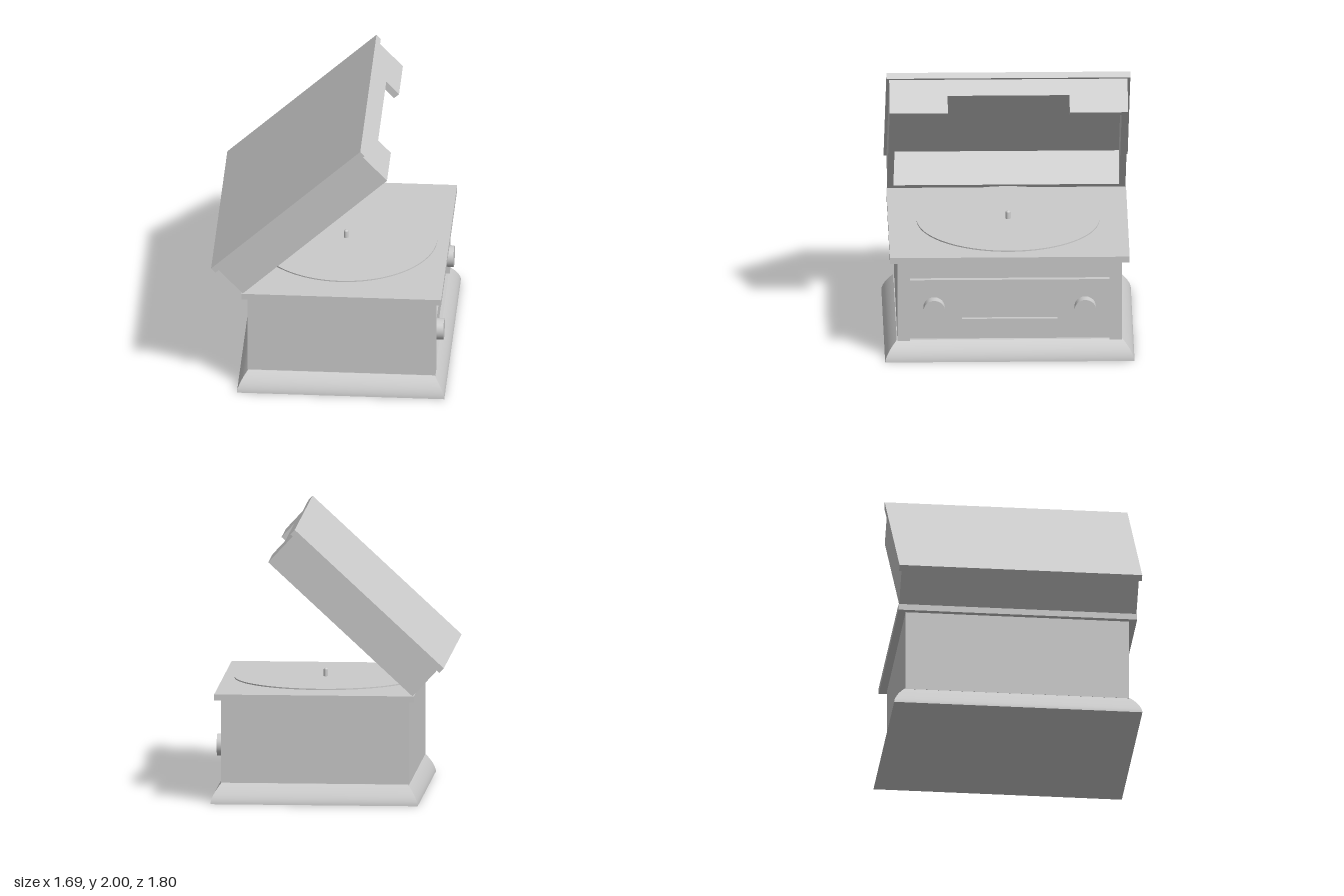
import * as THREE from 'three';

const material = new THREE.MeshStandardMaterial({ color: 0xcccccc });

function add(parent, name, geometry, x = 0, y = 0, z = 0) {
  const mesh = new THREE.Mesh(geometry, material);
  mesh.name = name;
  mesh.position.set(x, y, z);
  parent.add(mesh);
  return mesh;
}

// Box given by its limits on x and y, centred on z
function addBox(parent, name, x0, x1, y0, y1, width) {
  return add(parent, name, new THREE.BoxGeometry(x1 - x0, y1 - y0, width), (x0 + x1) / 2, (y0 + y1) / 2, 0);
}

const toShape = (points) => new THREE.Shape(points.map(([a, b]) => new THREE.Vector2(a, b)));

function extrude(shape, depth) {
  return new THREE.ExtrudeGeometry(shape, { depth, bevelEnabled: false });
}

// Floor plan in (x, z), raised along y
const extrudeUp = (points, height) => extrude(toShape(points), height).rotateX(-Math.PI / 2);

// Elevation in (z, y), thickened along x
const extrudeOut = (shape, depth) => extrude(shape, depth).rotateY(Math.PI / 2);

// Plinth with sides that curve inwards towards the top
function plinthGeometry() {
  const height = 0.145;
  const geometry = new THREE.BoxGeometry(1.5, height, 1.8, 1, 12, 1);
  const p = geometry.attributes.position;
  for (let i = 0; i < p.count; i++) {
    const y = p.getY(i) + height / 2;
    const inset = 0.075 * Math.pow(y / height, 1.6);
    p.setX(i, p.getX(i) - Math.sign(p.getX(i)) * inset);
    p.setZ(i, p.getZ(i) - Math.sign(p.getZ(i)) * inset * 1.13);
  }
  geometry.computeVertexNormals();
  return geometry.translate(0, height / 2, 0);
}

export function createModel() {
  const model = new THREE.Group();
  model.name = 'recordPlayer';

  // Cabinet: plinth, body with a recessed control side, overhanging top
  add(model, 'plinth', plinthGeometry(), 0.09);
  add(model, 'body', extrudeUp([
    [-0.59, -0.81], [0.77, -0.81], [0.77, -0.72], [0.7, -0.72],
    [0.7, 0.72], [0.77, 0.72], [0.77, 0.81], [-0.59, 0.81],
  ], 0.61), 0, 0.14, 0);
  addBox(model, 'topPlate', -0.63, 0.815, 0.75, 0.795, 1.73);

  // Control panel with a sunken display and two knobs
  const panel = toShape([[-0.72, 0.145], [0.72, 0.145], [0.72, 0.595], [-0.72, 0.595]]);
  panel.holes.push(toShape([[-0.345, 0.295], [-0.345, 0.47], [0.345, 0.47], [0.345, 0.295]]));
  add(model, 'controlPanel', extrudeOut(panel, 0.04), 0.7, 0, 0);
  addBox(model, 'display', 0.69, 0.71, 0.29, 0.475, 0.7);
  for (const side of [1, -1]) {
    const knob = new THREE.CylinderGeometry(0.078, 0.078, 0.085, 40).rotateZ(-Math.PI / 2);
    add(model, side > 0 ? 'leftKnob' : 'rightKnob', knob, 0.7725, 0.385, side * 0.545);
  }

  // Turntable
  const turntable = new THREE.Group();
  turntable.name = 'turntable';
  turntable.position.set(0.07, 0.795, 0);
  model.add(turntable);
  add(turntable, 'hub', new THREE.CylinderGeometry(0.19, 0.19, 0.012, 48), 0, 0.006, 0);
  add(turntable, 'platter', new THREE.CylinderGeometry(0.66, 0.66, 0.009, 96), 0, 0.0155, 0);
  const spindle = [[0.017, 0], [0.017, 0.068], [0.015, 0.074], [0.01, 0.079], [0, 0.081]];
  add(turntable, 'spindle', new THREE.LatheGeometry(spindle.map(([r, y]) => new THREE.Vector2(r, y)), 24));

  // Open lid, built closed around its hinge and then tilted
  const lid = new THREE.Group();
  lid.name = 'lid';
  lid.position.set(-0.62, 0.795, 0);
  lid.rotation.z = THREE.MathUtils.degToRad(42.8);
  model.add(lid);
  const length = 1.422, depth = 0.262, wall = 0.05;
  add(lid, 'lidWalls', extrudeUp([
    [0, -0.86], [length, -0.86], [length, -0.815], [wall, -0.815],
    [wall, 0.815], [length, 0.815], [length, 0.86], [0, 0.86],
  ], depth));
  // Edge wall with the finger notch
  const edge = toShape([
    [-0.815, 0], [-0.44, 0], [-0.44, 0.136], [0.44, 0.136],
    [0.44, 0], [0.815, 0], [0.815, depth], [-0.815, depth],
  ]);
  add(lid, 'lidNotchedWall', extrudeOut(edge, wall), length - wall, 0, 0);
  addBox(lid, 'lidPanel', -0.025, 1.445, depth, 0.308, 1.76);

  return model;
}
